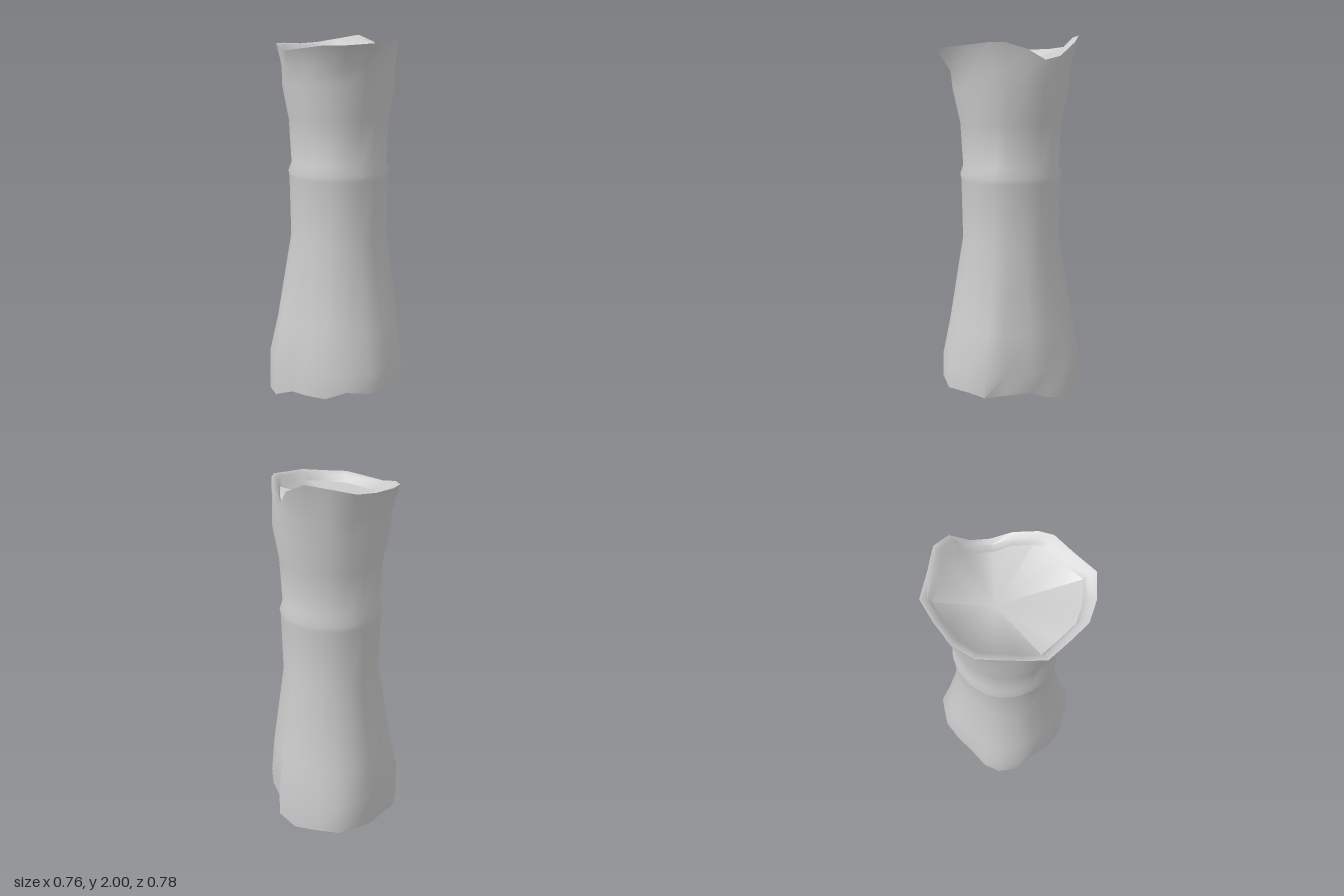
import * as THREE from 'three';
import { toCreasedNormals } from 'three/addons/utils/BufferGeometryUtils.js';

// Ragged outlines as [x, y, z], running from +x towards +z
const BASE = [
  [.325, .12, .02], [.38, .13, .125], [.31, .13, .22], [.245, .13, .33], [.12, .145, .375],
  [.01, .105, .39], [-.11, .1, .36], [-.2, .08, .29], [-.31, .03, .245], [-.38, .01, .125],
  [-.38, .0, .02], [-.33, .02, -.1], [-.29, .04, -.22], [-.24, .08, -.32], [-.14, .08, -.395],
  [-.02, .07, -.39], [.12, .04, -.355], [.23, .07, -.3], [.245, .08, -.2], [.33, .14, -.115],
];
const TOP = [
  [.315, 1.95, .02], [.325, 1.95, .09], [.285, 1.94, .2], [.245, 1.93, .325], [.12, 1.92, .375],
  [.01, 1.92, .385], [-.1, 1.91, .34], [-.21, 1.9, .29], [-.26, 1.92, .2], [-.31, 1.94, .1],
  [-.345, 1.945, .015], [-.33, 1.95, -.1], [-.27, 1.95, -.21], [-.2, 1.96, -.31], [-.08, 1.98, -.33],
  [.035, 2, -.355], [.13, 1.96, -.33], [.18, 1.89, -.255], [.235, 1.87, -.18], [.28, 1.92, -.09],
];
const N = BASE.length;

// Outline scaled towards the axis and shifted in height
const inset = (outline, s, dy) => outline.map(([x, y, z]) => [x * s, y + dy, z * s]);

// Nearly round ring that keeps a share w of an outline's irregularity
const ring = (y, r, outline, w) => outline.map(([x, , z]) => {
  const a = Math.atan2(z, x);
  return [
    THREE.MathUtils.lerp(Math.cos(a) * r, x, w), y,
    THREE.MathUtils.lerp(Math.sin(a) * r, z, w),
  ];
});
const point = (x, y, z) => BASE.map(() => [x, y, z]);

// Skin a stack of rings, bottom to top, with creased normals
function loft(rings) {
  const index = [];
  for (let j = 0; j < rings.length - 1; j++) {
    for (let i = 0; i < N; i++) {
      const k = (i + 1) % N;
      const a = j * N + i, b = j * N + k, c = a + N, d = b + N;
      if (j === 0) index.push(a, c, d);
      else index.push(a, c, b);
      if (j > 0 && j < rings.length - 2) index.push(b, c, d);
    }
  }
  const g = new THREE.BufferGeometry();
  g.setAttribute('position', new THREE.Float32BufferAttribute(rings.flat(2), 3));
  g.setIndex(index);
  return toCreasedNormals(g, 1.05);
}

export function createModel() {
  const group = new THREE.Group();
  group.name = 'hollowTrunk';
  const material = new THREE.MeshStandardMaterial({ color: 0xcccccc });
  const trunk = new THREE.Mesh(loft([
    // recessed underside and broken lower lip
    point(0, .12, 0),
    inset(BASE, .87, .05),
    inset(BASE, .9, .01),
    BASE,
    // flared foot, narrow waist and raised band
    ring(.24, .373, BASE, .85),
    ring(.45, .325, BASE, .3),
    ring(.92, .26, BASE, .05),
    ring(1.24, .268, BASE, .03),
    ring(1.275, .273, BASE, .03),
    ring(1.32, .258, TOP, .02),
    ring(1.55, .268, TOP, .05),
    ring(1.73, .3, TOP, .15),
    ring(1.82, .295, TOP, .3),
    // flared upper lip and shallow hollow
    TOP,
    inset(TOP, .91, -.01),
    inset(TOP, .86, -.05),
    point(-.05, 1.85, -.03),
  ]), material);
  trunk.name = 'trunk';
  group.add(trunk);
  return group;
}
